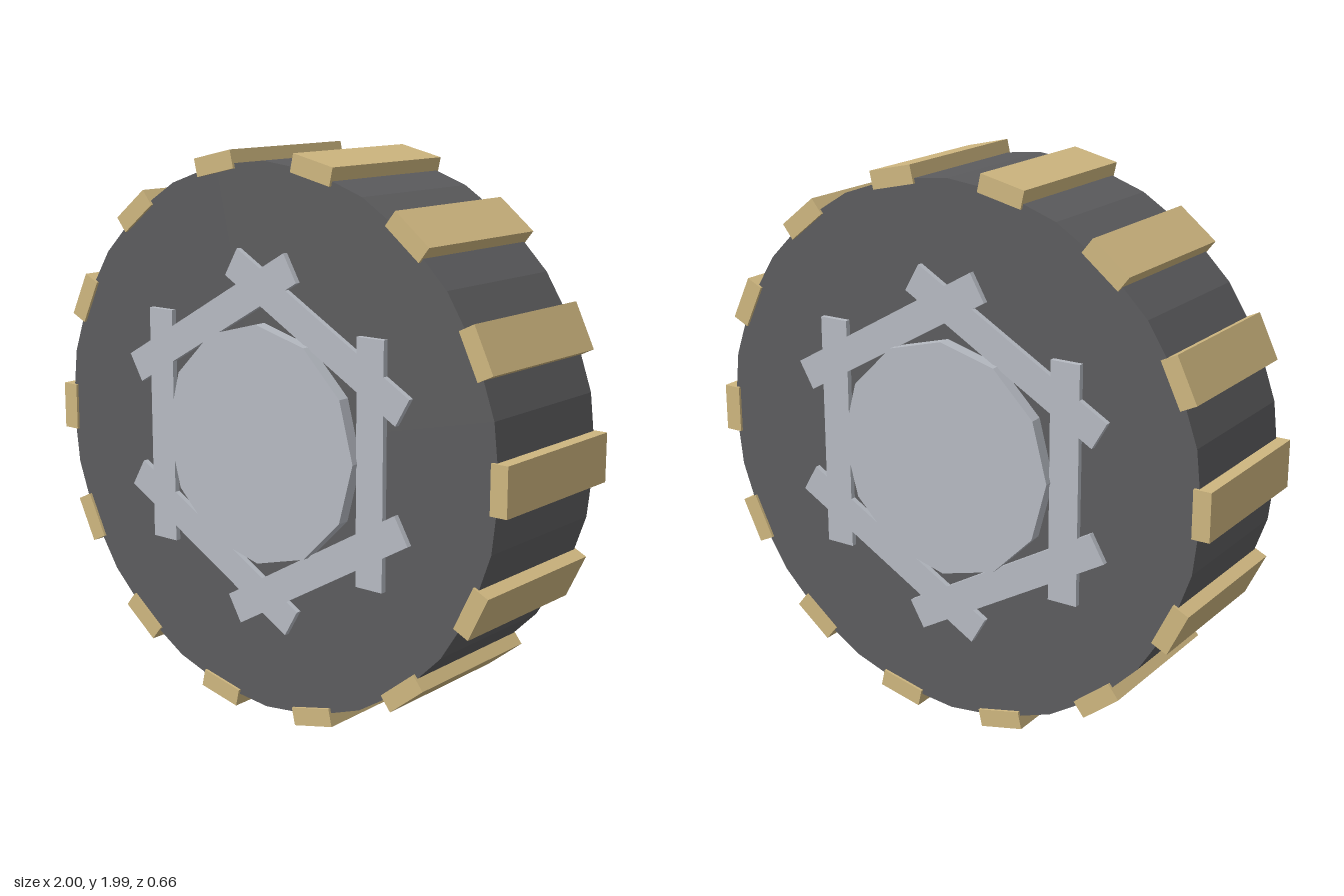
import * as THREE from 'three';

const AXLE_Y = 0.994;

export function createModel() {
  const material = (name, color) => {
    const m = new THREE.MeshStandardMaterial({ color });
    m.name = name;
    return m;
  };
  const rubber = material('dark rubber', 0x5c5c5e);
  const wood = material('tan tread', 0xceb67f);
  const metal = material('pale metal', 0xb6bac2);

  const wheel = new THREE.Group();
  wheel.name = 'wheel';

  const add = (name, geometry, mat, parent) => {
    const mesh = new THREE.Mesh(geometry, mat);
    mesh.name = name;
    parent.add(mesh);
    return mesh;
  };

  // Faceted disc with its axis along z
  const disc = (radius, depth, sides) => {
    const g = new THREE.CylinderGeometry(radius, radius, depth, sides).rotateX(Math.PI / 2).toNonIndexed();
    g.computeVertexNormals();
    return g;
  };

  // Boxes spaced evenly around the axle
  const ring = (name, count, radius, size, mat) => {
    const group = new THREE.Group();
    group.name = name + 's';
    const geometry = new THREE.BoxGeometry(...size).translate(radius, 0, 0);
    for (let i = 0; i < count; i++) {
      add(name, geometry, mat, group).rotation.z = (i / count) * Math.PI * 2;
    }
    wheel.add(group);
  };

  // Tyre and hub
  add('tyre', disc(0.963, 0.57, 28), rubber, wheel);
  add('hub', disc(0.42, 0.66, 12), metal, wheel);

  // Crossed bars framing the hub on both sides
  ring('hubBar', 6, 0.47, [0.11, 0.845, 0.61], metal);

  // Tread blocks
  ring('treadBlock', 14, 0.968, [0.064, 0.17, 0.59], wood);

  wheel.position.y = AXLE_Y;
  const model = new THREE.Group();
  model.name = 'treadedWheel';
  model.add(wheel);
  return model;
}
